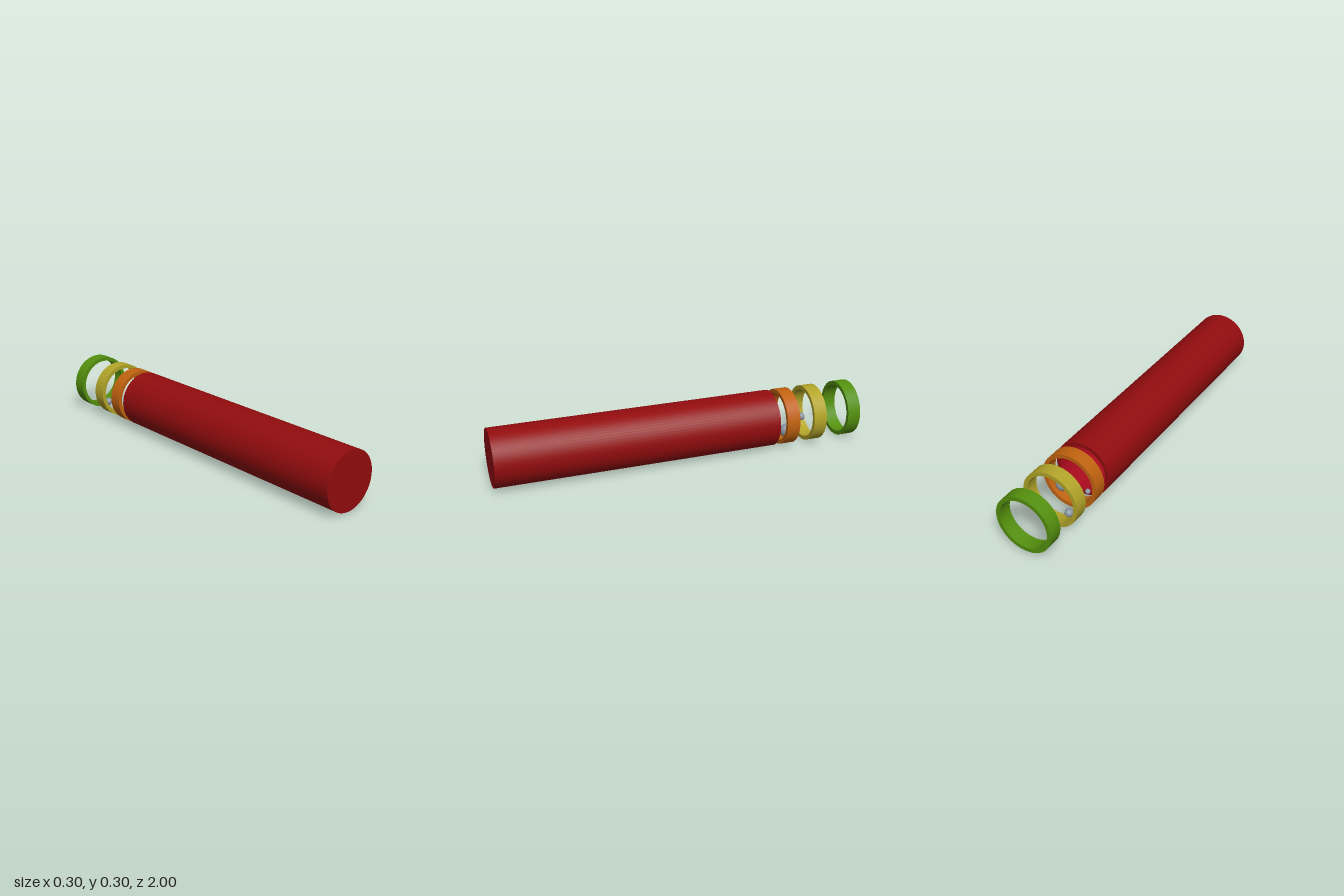
import * as THREE from 'three';

const R = 0.152, INNER = 0.131, SEG = 64;
const paint = (color) => new THREE.MeshStandardMaterial({ color });

// Lathe around the z axis; each straight run gets its own surface so edges stay sharp
function turned(name, profile, colors) {
  const part = new THREE.Group();
  part.name = name;
  for (let i = 0; i < profile.length - 1; i++) {
    const pts = [profile[i], profile[i + 1]].map(([r, z]) => new THREE.Vector2(r, z));
    const geo = new THREE.LatheGeometry(pts, SEG).rotateX(Math.PI / 2);
    const mesh = new THREE.Mesh(geo, paint(colors[i] ?? colors[0]));
    mesh.material.side = THREE.DoubleSide;
    mesh.name = name + 'Surface';
    part.add(mesh);
  }
  part.position.y = R;
  return part;
}

export function createModel() {
  const model = new THREE.Group();
  model.name = 'tubeWithRings';

  // Long tube: closed at the front, open at the back, with a brighter lining
  const red = 0x920c0e, lining = 0xa80a1c;
  model.add(turned('tube',
    [[0, 0.98], [INNER, 0.98], [INNER, -0.52], [R, -0.52], [R, 1], [0, 1]],
    [lining, lining, red, red, red]));

  // Separate rings behind the tube, spaced ever wider
  const rings = [
    ['orangeRing', -0.598, 0xc0620f],
    ['yellowRing', -0.757, 0xb2a428],
    ['greenRing', -0.963, 0x54900e],
  ];
  for (const [name, z, color] of rings) {
    const a = z - 0.037, b = z + 0.037;
    model.add(turned(name, [[INNER, b], [INNER, a], [R, a], [R, b], [INNER, b]], [color]));
  }

  // Small balls floating inside the rings
  const balls = [
    ['largeBall', 0.037, 0.065, 0.09, -0.597],
    ['mediumBall', 0.021, -0.084, 0.09, -0.763],
    ['smallBall', 0.013, -0.08, 0.1, -0.597],
  ];
  for (const [name, r, x, y, z] of balls) {
    const ball = new THREE.Mesh(new THREE.SphereGeometry(r, 32, 20), paint(0x8c97a6));
    ball.name = name;
    ball.position.set(x, y, z);
    model.add(ball);
  }
  return model;
}
